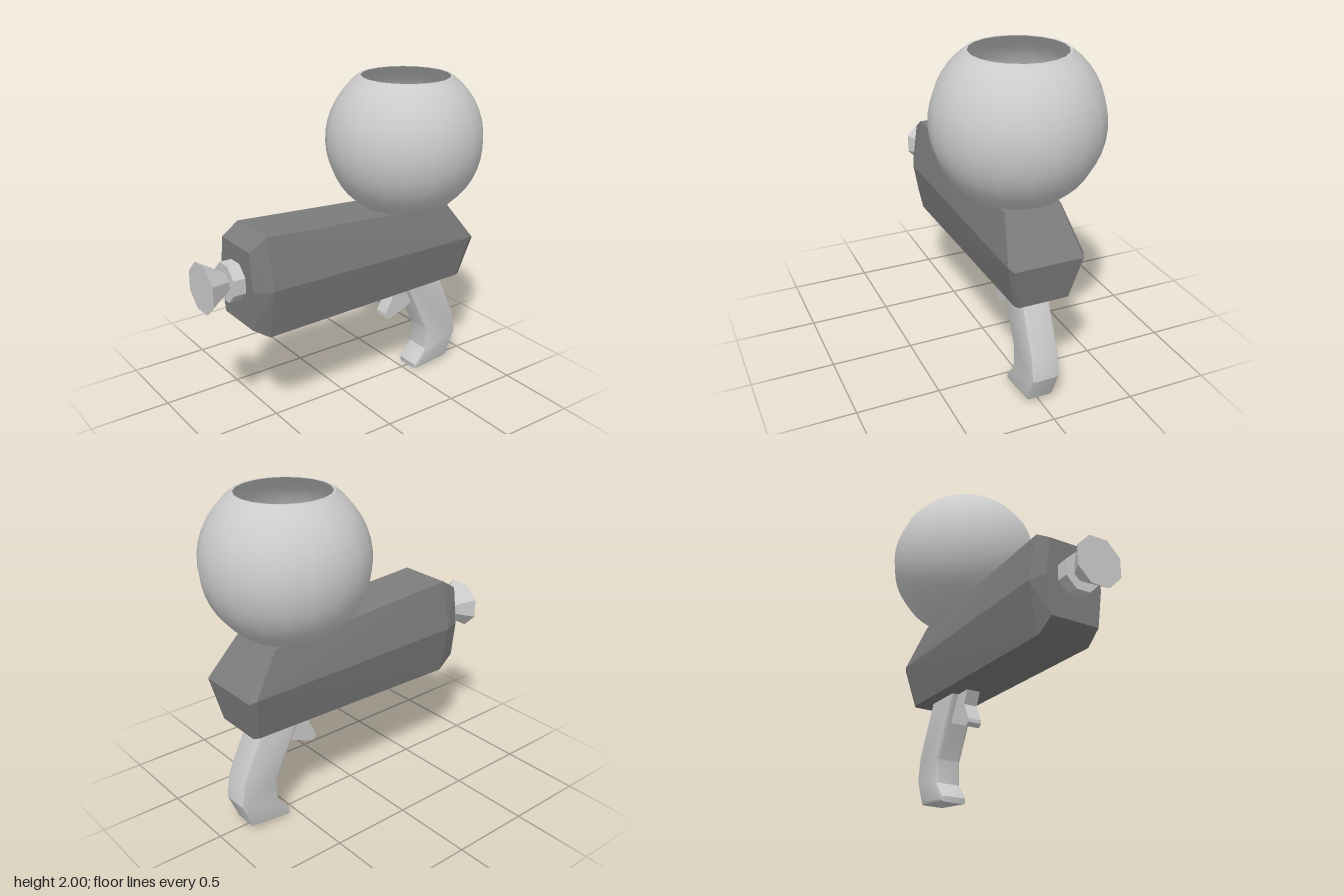
import * as THREE from 'three';
import { toCreasedNormals } from 'three/addons/utils/BufferGeometryUtils.js';
import { ConvexGeometry } from 'three/addons/geometries/ConvexGeometry.js';

const grey = new THREE.MeshStandardMaterial({ color: 0xcccccc });
const flatGrey = new THREE.MeshStandardMaterial({ color: 0xcccccc, flatShading: true });
const dark = new THREE.MeshStandardMaterial({ color: 0x7c7c7c, flatShading: true });

function addMesh(parent, name, geometry, material) {
  const mesh = new THREE.Mesh(geometry, material);
  mesh.name = name;
  parent.add(mesh);
  return mesh;
}

// Side outline in x/y, extruded evenly about z = 0 with a chamfered rim
function slab(outline, halfWidth, bevel) {
  const shape = new THREE.Shape(outline.map(([x, y]) => new THREE.Vector2(x, y)));
  const geometry = new THREE.ExtrudeGeometry(shape, {
    depth: 2 * (halfWidth - bevel),
    bevelEnabled: bevel > 0,
    bevelThickness: bevel,
    bevelSize: bevel,
    bevelOffset: -bevel,
    bevelSegments: 2,
  });
  geometry.translate(0, 0, bevel - halfWidth);
  return geometry;
}

// Six-sided section: [x, y, half width] at top, middle and bottom, mirrored in z
function makeBody() {
  const sections = [
    [[-0.73, 1.19, 0.155], [-0.73, 0.955, 0.185], [-0.73, 0.72, 0.155]],
    [[-0.62, 1.26, 0.165], [-0.62, 0.955, 0.225], [-0.62, 0.645, 0.165]],
    [[0.67, 1.182, 0.168], [0.845, 0.945, 0.225], [0.8, 0.674, 0.165]],
    [[0.7, 1.18, 0.155], [0.885, 0.935, 0.205], [0.83, 0.675, 0.15]],
  ];
  const points = [];
  for (const [x, y, w] of sections.flat()) {
    points.push(new THREE.Vector3(x, y, w), new THREE.Vector3(x, y, -w));
  }
  return new ConvexGeometry(points);
}

// Eight-sided piece along x; radii are measured to the flats
function octagon(x0, x1, r0, r1) {
  const k = 1 / Math.cos(Math.PI / 8);
  const geometry = new THREE.CylinderGeometry(r1 * k, r0 * k, x1 - x0, 8);
  geometry.rotateY(Math.PI / 8);
  geometry.rotateZ(-Math.PI / 2);
  geometry.translate((x0 + x1) / 2, 0.98, 0);
  return geometry;
}

// Hollow globe, cut off flat at the top, with a thin wall
function makeGlobe(radius, inner, cut) {
  const arc = (r) => {
    const end = Math.PI / 2 + Math.asin(cut / r);
    return Array.from({ length: 19 }, (_, i) => {
      const a = (end * i) / 18;
      return new THREE.Vector2(r * Math.sin(a), -r * Math.cos(a));
    });
  };
  const profile = [...arc(radius), ...arc(inner).reverse()];
  return toCreasedNormals(new THREE.LatheGeometry(profile, 20), 0.6);
}

// Loose balls in jittered spiral layers filling the lower globe
function makeBalls(innerRadius, size) {
  const balls = new THREE.Group();
  balls.name = 'balls';
  const geometry = new THREE.SphereGeometry(size, 10, 8);
  let seed = 7;
  const jitter = (s) => {
    seed = (seed * 16807) % 2147483647;
    return (seed / 2147483647 - 0.5) * s;
  };
  for (let layer = 0; layer < 5; layer++) {
    const y = -0.38 + layer * 0.085;
    const reach = Math.sqrt((innerRadius - size - 0.02) ** 2 - y * y) || 0.08;
    const count = Math.max(3, Math.round(0.55 * ((reach + size) / size) ** 2));
    for (let i = 0; i < count; i++) {
      const r = reach * Math.sqrt((i + 0.5) / count);
      const a = i * 2.39996 + layer * 1.3;
      const ball = addMesh(balls, 'ball', geometry, grey);
      ball.position.set(r * Math.cos(a), y + jitter(0.03), r * Math.sin(a));
      ball.rotation.set(jitter(3), jitter(3), 0);
    }
  }
  return balls;
}

export function createModel() {
  const model = new THREE.Group();
  model.name = 'ballBlaster';

  addMesh(model, 'body', makeBody(), dark);

  // Nozzle: neck, collar and flared closed end
  const nozzle = new THREE.Group();
  nozzle.name = 'nozzle';
  addMesh(nozzle, 'nozzleNeck', octagon(-0.74, -0.71, 0.07, 0.07), flatGrey);
  addMesh(nozzle, 'nozzleCollar', octagon(-0.81, -0.735, 0.11, 0.11), flatGrey);
  addMesh(nozzle, 'nozzleFlare', octagon(-0.955, -0.8, 0.143, 0.05), flatGrey);
  model.add(nozzle);

  // Globe hopper with its balls
  const hopper = new THREE.Group();
  hopper.name = 'hopper';
  hopper.position.set(0.465, 1.61, 0);
  addMesh(hopper, 'globe', makeGlobe(0.483, 0.474, 0.39), grey);
  hopper.add(makeBalls(0.47, 0.05));
  model.add(hopper);

  // Curved grip, sunk into the body
  const grip = slab([
    [0.41, 0.74], [0.63, 0.29], [0.63, 0.14], [0.545, 0.04], [0.55, 0.005],
    [0.82, 0.035], [0.89, 0.2], [0.868, 0.35], [0.685, 0.74],
  ], 0.085, 0.018);
  addMesh(model, 'grip', toCreasedNormals(grip, 0.5), grey);

  // Trigger in front of the grip
  const trigger = slab([
    [0.31, 0.71], [0.37, 0.58], [0.315, 0.475], [0.315, 0.45], [0.34, 0.43],
    [0.54, 0.505], [0.5, 0.71],
  ], 0.045, 0);
  addMesh(model, 'trigger', trigger, flatGrey);

  return model;
}
